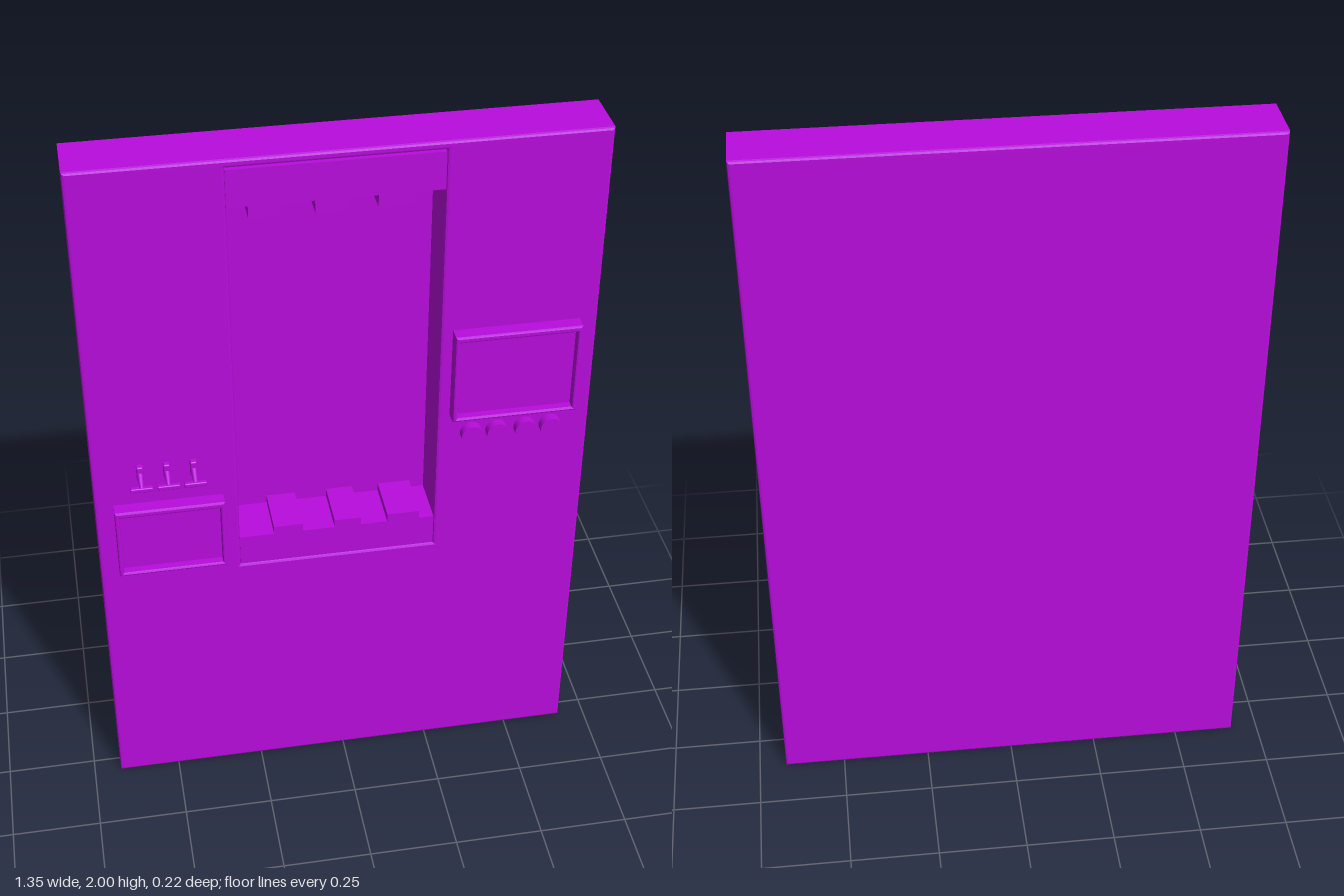
import * as THREE from 'three';
import { RoundedBoxGeometry } from 'three/addons/geometries/RoundedBoxGeometry.js';

const FRONT = 0.05, BACK = -0.11;

export function createModel() {
  const model = new THREE.Group();
  model.name = 'wallPanel';
  const material = new THREE.MeshStandardMaterial({ color: 0xb80cdc });

  const add = (parent, name, geometry, x = 0, y = 0, z = 0) => {
    const mesh = new THREE.Mesh(geometry, material);
    mesh.name = name;
    mesh.position.set(x, y, z);
    parent.add(mesh);
    return mesh;
  };
  const trace = (path, points) => {
    points.forEach(([x, y], i) => (i ? path.lineTo(x, y) : path.moveTo(x, y)));
    path.closePath();
    return path;
  };
  const rect = (path, x0, x1, y0, y1) =>
    trace(path, [[x0, y0], [x1, y0], [x1, y1], [x0, y1]]);

  // Extrusion whose bevel stays inside the drawn outline and z range
  const extrude = (shape, depth, bevel) => {
    const geometry = new THREE.ExtrudeGeometry(shape, {
      depth: depth - 2 * bevel, bevelEnabled: bevel > 0, bevelThickness: bevel,
      bevelSize: bevel, bevelOffset: -bevel, bevelSegments: 2,
    });
    return geometry.translate(0, 0, bevel);
  };

  // Wall with a tall doorway recess
  const L = -0.288, R = 0.255, B = 0.747, T = 1.977, edge = 0.007;
  const wall = rect(new THREE.Shape(), -0.673, 0.673, 0, 2);
  wall.holes.push(rect(new THREE.Path(), L, R, B, T));
  add(model, 'wall', extrude(wall, FRONT - BACK, edge), 0, 0, BACK);
  add(model, 'recessBack',
    new THREE.BoxGeometry(R - L + 2 * edge, T - B + 2 * edge, 0.014),
    (L + R) / 2, (B + T) / 2, BACK + 0.007);

  // Toothed door halves, retracted into the recess
  const door = (name, outer, inner, tip, teeth) => {
    const points = [[L, outer], [L, inner]];
    for (const [a, b] of teeth) points.push([a, inner], [a, tip], [b, tip], [b, inner]);
    points.push([R, inner], [R, outer]);
    const shape = trace(new THREE.Shape(), points);
    add(model, name, extrude(shape, 0.144, 0), 0, 0, BACK + 0.012);
  };
  door('lowerDoor', B, 0.84, 0.864, [[-0.193, -0.113], [-0.024, 0.05], [0.124, 0.214]]);
  door('upperDoor', T - 0.006, 1.868, 1.834, [[-0.235, -0.16], [-0.07, 0.013], [0.087, 0.177]]);

  // Framed screens
  const screen = (name, x0, x1, y0, y1) => {
    const group = new THREE.Group();
    group.name = name;
    model.add(group);
    const frame = rect(new THREE.Shape(), x0, x1, y0, y1);
    frame.holes.push(rect(new THREE.Path(), x0 + 0.012, x1 - 0.012, y0 + 0.01, y1 - 0.018));
    add(group, 'screenFrame', extrude(frame, 0.045, 0.005), 0, 0, FRONT - 0.005);
    add(group, 'screenGlass', new THREE.BoxGeometry(x1 - x0 - 0.015, y1 - y0 - 0.02, 0.02),
      (x0 + x1) / 2, (y0 + y1) / 2, FRONT + 0.005);
  };
  screen('rightScreen', -0.623, -0.328, 0.785, 1.002);
  screen('leftScreen', 0.287, 0.625, 1.188, 1.455);

  // Round buttons
  const buttonGeometry = new THREE.CylinderGeometry(0.03, 0.03, 0.03, 24).rotateX(Math.PI / 2);
  for (const x of [0.348, 0.418, 0.496, 0.566]) {
    add(model, 'button', buttonGeometry, x, 1.125, FRONT + 0.01);
  }

  // Toggle levers: pivot block, sloping stem and T-shaped grip
  for (const x of [-0.546, -0.475, -0.404]) {
    const lever = new THREE.Group();
    lever.name = 'lever';
    lever.position.set(x, 0, 0);
    model.add(lever);
    add(lever, 'leverPivot', new RoundedBoxGeometry(0.018, 0.045, 0.02, 2, 0.004), 0, 1.107, FRONT + 0.006);
    const stem = add(lever, 'leverStem', new THREE.CylinderGeometry(0.006, 0.009, 0.052, 10), 0, 1.097, 0.078);
    stem.rotation.x = 2.0;
    add(lever, 'leverGrip', new RoundedBoxGeometry(0.06, 0.013, 0.014, 2, 0.003), 0, 1.084, 0.099);
  }

  return model;
}
